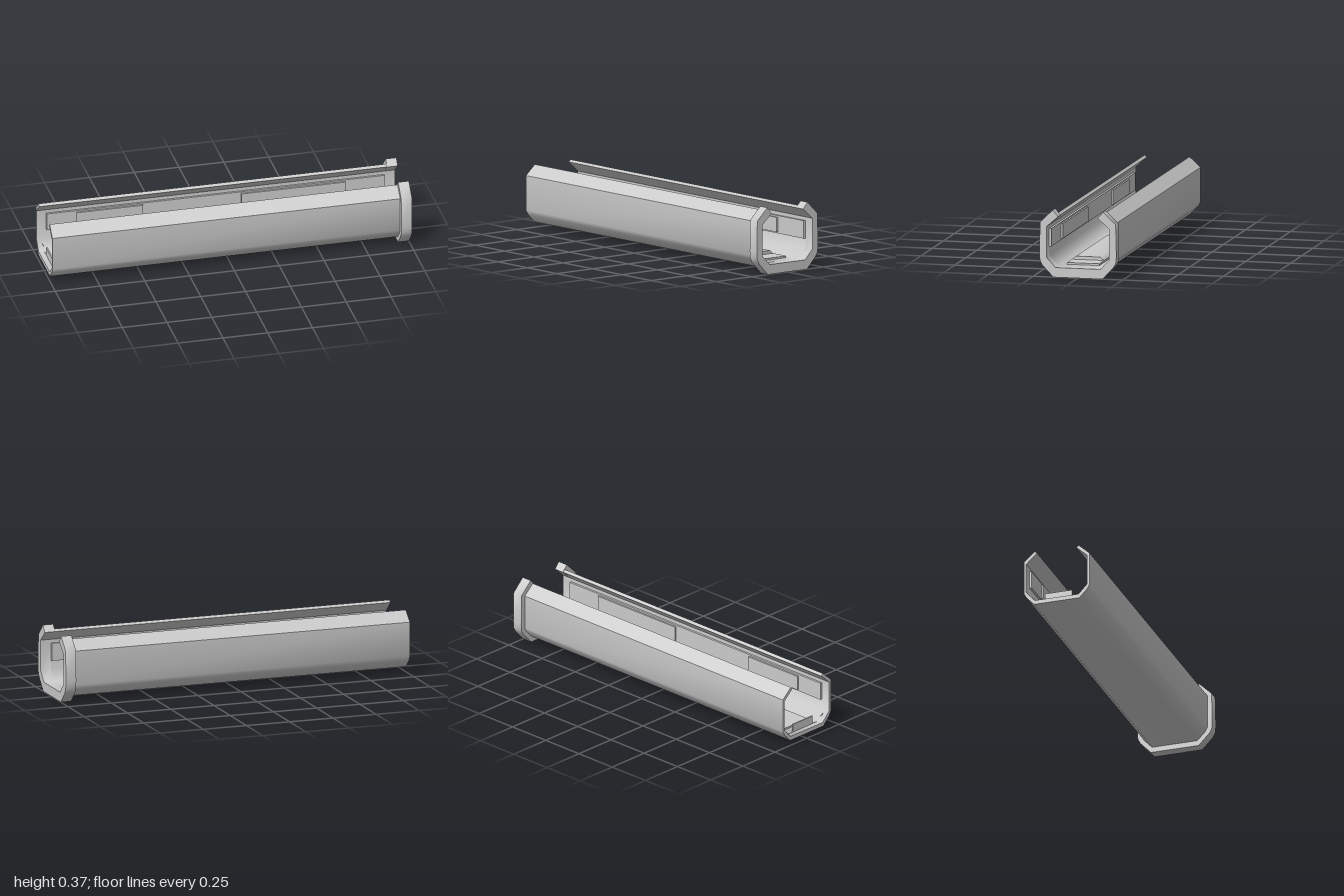
import * as THREE from 'three';
import { toCreasedNormals } from 'three/addons/utils/BufferGeometryUtils.js';

const material = new THREE.MeshStandardMaterial({ color: 0xcccccc });

// Half profile [z, y] -> closed symmetric outline, extruded along x from x0 to x1.
function extrudeAlongX(half, x0, x1) {
  const mirrored = half.map(([z, y]) => [-z, y]).reverse();
  const shape = new THREE.Shape([...half, ...mirrored].map(([z, y]) => new THREE.Vector2(z, y)));
  const geo = new THREE.ExtrudeGeometry(shape, { depth: x1 - x0, bevelEnabled: false });
  geo.rotateY(Math.PI / 2).translate(x0, 0, 0);
  return toCreasedNormals(geo, 0.83);
}

export function createModel() {
  const group = new THREE.Group();
  const add = (name, geo) => {
    const mesh = new THREE.Mesh(geo, material);
    mesh.name = name;
    group.add(mesh);
    return mesh;
  };
  const box = (name, x0, x1, y0, y1, z0, z1) =>
    add(name, new THREE.BoxGeometry(x1 - x0, y1 - y0, z1 - z0)
      .translate((x0 + x1) / 2, (y0 + y1) / 2, (z0 + z1) / 2));

  // Inside of the channel, from the lip down to the floor
  const inner = [[0.175, 0.276], [0.175, 0.107], [0.125, 0.053]];

  // Long thin-walled open channel
  add('channel', extrudeAlongX([
    [0.13, 0.03], [0.174, 0.076], [0.187, 0.1], [0.187, 0.29], [0.125, 0.345],
    [0.112, 0.333], ...inner,
  ], -1, 0.94));

  // Thick collar at one end
  add('collar', extrudeAlongX([
    [0.137, 0], [0.198, 0.064], [0.212, 0.09], [0.215, 0.13], [0.211, 0.3], [0.141, 0.368],
    [0.11, 0.333], ...inner,
  ], 0.94, 1));

  // Floor plate with a long chamfered pad
  box('floorPlate', -0.92, 0.88, 0.05, 0.063, -0.09, 0.09);
  add('floorPad', extrudeAlongX([[0.09, 0.06], [0.088, 0.064], [0.068, 0.081]], 0.06, 0.77));

  // Thin upright stop near the open end
  box('endStop', -0.97, -0.962, 0.05, 0.098, -0.077, 0.077);
  box('endRib', -0.97, -0.962, 0.05, 0.055, -0.11, 0.11);

  // Side wall plates, each with a short and a long pad
  for (const s of [1, -1]) {
    const wall = (name, x0, x1, y0, y1, depth) =>
      box(name, x0, x1, y0, y1, ...(s > 0 ? [depth, 0.18] : [-0.18, -depth]));
    wall('wallPlate', -0.945, 0.94, 0.158, 0.256, 0.163);
    wall('shortWallPad', -0.78, -0.41, 0.166, 0.247, 0.154);
    wall('longWallPad', 0.14, 0.72, 0.166, 0.247, 0.154);

    // Small bead on the sloped lower corner
    const bead = add('cornerBead', new THREE.BoxGeometry(0.01, 0.018, 0.008));
    bead.position.set(-0.966, 0.081, s * 0.15);
    bead.rotation.x = s * 0.75;
  }
  return group;
}
